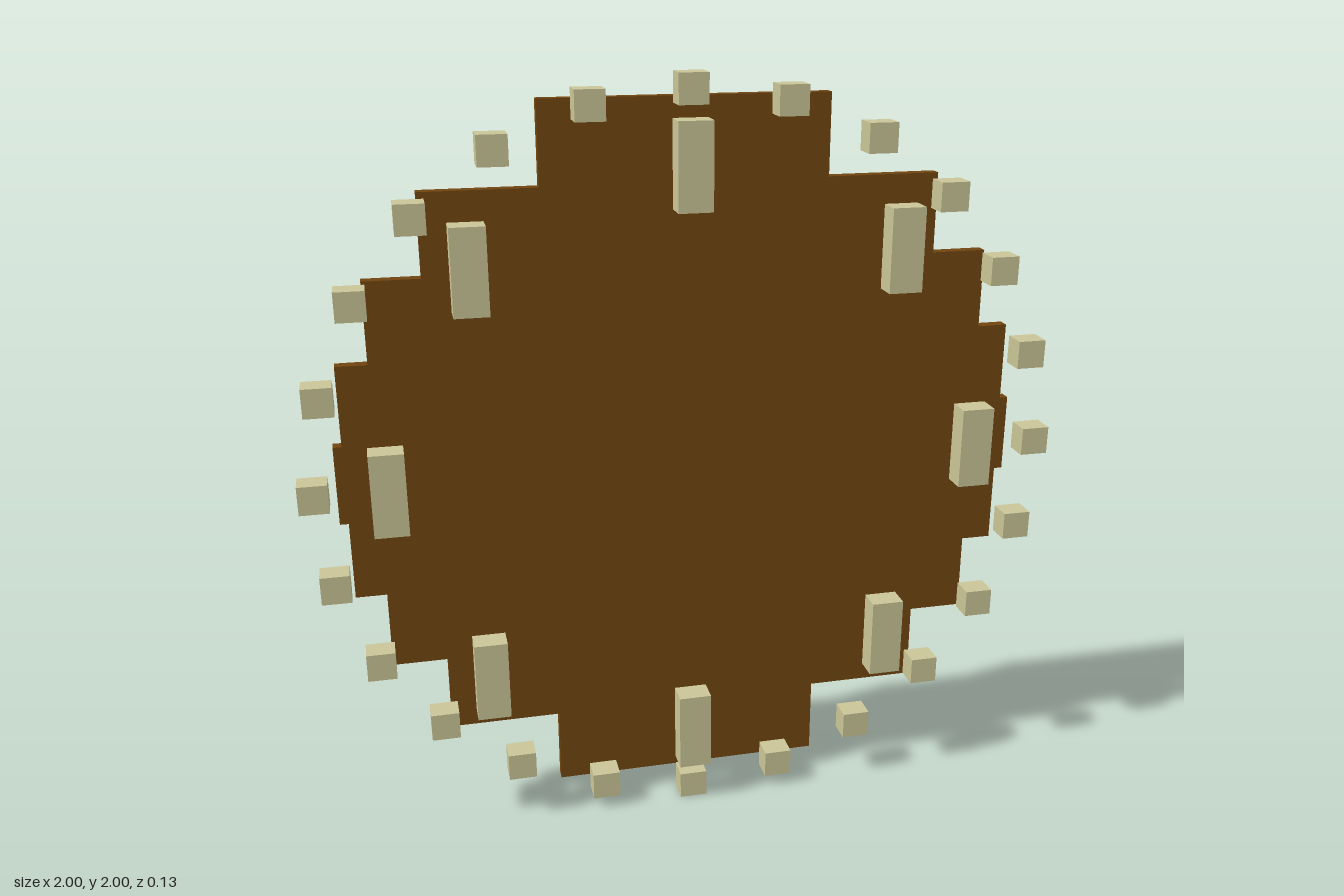
import * as THREE from 'three';

export function createModel() {
  const model = new THREE.Group();
  const wood = new THREE.MeshStandardMaterial({ color: 0x70450f });
  wood.name = 'brown wood';
  const bone = new THREE.MeshStandardMaterial({ color: 0xc9c496 });
  bone.name = 'pale bone';

  // Stepped round board: half-widths of its nine rows, bottom to top
  const half = [0.367, 0.661, 0.805, 0.885, 0.907, 0.885, 0.805, 0.661, 0.367];
  const row = 0.2083, centerY = 1.003;
  const side = half.flatMap((w, i) => [
    new THREE.Vector2(w, (i - 4.5) * row),
    new THREE.Vector2(w, (i - 3.5) * row),
  ]);
  const mirrored = side.map((p) => new THREE.Vector2(-p.x, p.y)).reverse();
  const board = new THREE.Mesh(
    new THREE.ExtrudeGeometry(new THREE.Shape([...side, ...mirrored]), { depth: 0.032, bevelEnabled: false }),
    wood,
  );
  board.name = 'board';
  board.position.set(0, centerY, -0.066);
  model.add(board);

  // Upright blocks spaced evenly around a circle
  function ring(name, count, radius, y, z, size) {
    const group = new THREE.Group();
    group.name = name + 's';
    const geometry = new THREE.BoxGeometry(...size);
    for (let i = 0; i < count; i++) {
      const a = (i / count) * Math.PI * 2;
      const block = new THREE.Mesh(geometry, bone);
      block.name = name;
      block.position.set(Math.sin(a) * radius, y + Math.cos(a) * radius, z);
      group.add(block);
    }
    model.add(group);
  }

  ring('rimStud', 24, 0.9625, 1.0, 0.009, [0.075, 0.075, 0.065]);
  ring('hourMarker', 8, 0.779, centerY, 0.0335, [0.088, 0.219, 0.065]);

  return model;
}
